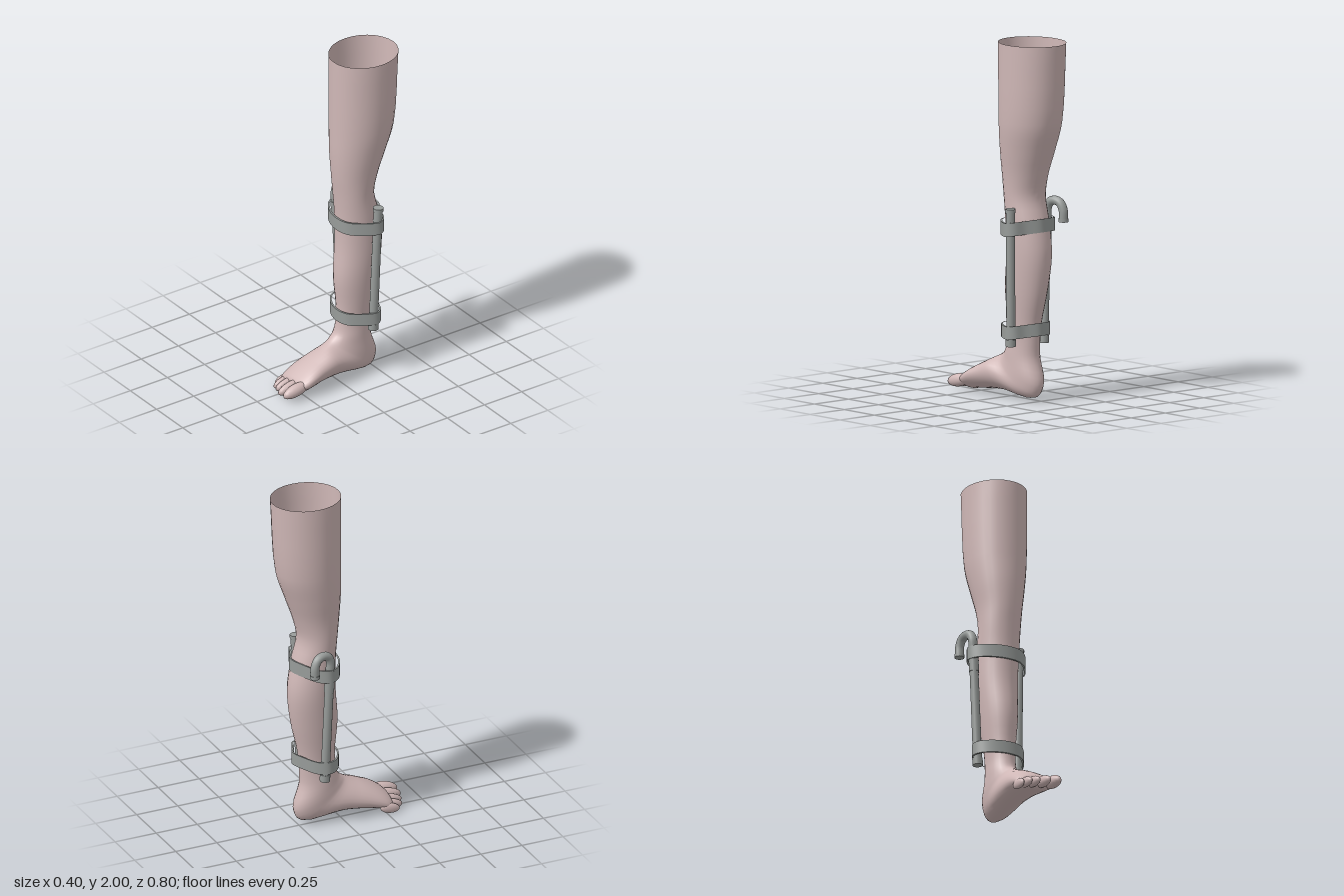
import * as THREE from 'three';
import { toCreasedNormals } from 'three/addons/utils/BufferGeometryUtils.js';

const skin = new THREE.MeshStandardMaterial({ color: 0xd0b8b7, side: THREE.DoubleSide });
skin.name = 'skin';
const metal = new THREE.MeshStandardMaterial({ color: 0x989c9a });
metal.name = 'greyMetal';

const V = (x, y, z) => new THREE.Vector3(x, y, z);

// Level sections down the leg: y, front z, back z, right x, left x
const LEG = [
  [2, 0, -.4, -.157, .2],
  [1.56, 0, -.37, -.147, .19],
  [1.4, 0, -.32, -.128, .168],
  [1.26, -.008, -.272, -.106, .146],
  [1.14, -.02, -.247, -.1, .136],
  [1, -.03, -.28, -.1, .136],
  [.82, -.03, -.306, -.1, .132],
  [.62, -.014, -.285, -.083, .122],
  [.43, -.028, -.243, -.061, .105],
  [.33, -.023, -.235, -.056, .1],
];

// Sections fanning round the heel and standing upright along the foot:
// upper point y, z, lower point y, z, right x, left x
const FOOT = [
  [.275, -.008, .235, -.235, -.06, .104],
  [.25, .02, .1, -.272, -.062, .108],
  [.238, .04, .025, -.235, -.06, .112],
  [.215, .085, .042, 0, -.07, .134],
  [.185, .15, .036, .12, -.083, .14],
  [.15, .215, .025, .21, -.091, .15],
  [.115, .265, .02, .262, -.088, .144],
  [.09, .29, .035, .285, -.07, .125],
  [.062, .296, .058, .296, -.03, .08],
];

// One point of an oval section; tilt raises the inner edge of the forefoot
function sectionPoint(angle, fy, fz, by, bz, xl, xr, tilt) {
  const k = .5 + .5 * Math.cos(angle), s = Math.sin(angle);
  const x = (xl + xr) / 2 + (xr - xl) / 2 * s;
  return V(x, by + (fy - by) * k + tilt * (x - .03) * Math.abs(s), bz + (fz - bz) * k);
}

// Continuous skin: a smooth curve down each side column, joined into rings
function legGeometry(sides = 28, steps = 72) {
  const columns = [];
  for (let j = 0; j < sides; j++) {
    const t = j / sides * Math.PI * 2;
    columns.push(new THREE.CatmullRomCurve3([
      ...LEG.map(([y, zf, zb, xl, xr]) => sectionPoint(t, y, zf, y, zb, xl, xr, 0)),
      ...FOOT.map((section, i) => sectionPoint(t, ...section, i > 2 ? .14 : 0)),
    ]));
  }
  const pos = [], index = [];
  for (let i = 0; i <= steps; i++) {
    for (const column of columns) pos.push(...column.getPoint(i / steps).toArray());
    if (i === steps) break;
    for (let j = 0; j < sides; j++) {
      const a = i * sides + j, b = i * sides + (j + 1) % sides;
      index.push(a, a + sides, b, b, a + sides, b + sides);
    }
  }
  const g = new THREE.BufferGeometry();
  g.setAttribute('position', new THREE.Float32BufferAttribute(pos, 3));
  g.setIndex(index);
  g.computeVertexNormals();
  return g;
}

function mesh(name, geometry, material) {
  const m = new THREE.Mesh(geometry, material);
  m.name = name;
  return m;
}

// Straight cylinder between two points
function rod(name, a, b, r) {
  const m = mesh(name, new THREE.CylinderGeometry(r, r, a.distanceTo(b), 16), metal);
  m.position.copy(a).lerp(b, .5);
  m.quaternion.setFromUnitVectors(V(0, 1, 0), b.clone().sub(a).normalize());
  return m;
}

// Strap outline (x, z) round the leg and both rods
const STRAP = [
  [.02, -.018], [.1, -.035], [.17, -.11], [.202, -.19], [.18, -.228], [.12, -.25],
  [.02, -.293], [-.08, -.25], [-.14, -.205], [-.175, -.14], [-.15, -.085], [-.07, -.035],
];

// Closed band, lifted a little at the back
function strap(name, y, height, scaleX, shiftX, scaleZ) {
  const curve = new THREE.CatmullRomCurve3(
    STRAP.map(([x, z]) => V(x * scaleX + shiftX, z * scaleZ, 0)), true);
  const outer = [], inner = [];
  for (let i = 0; i < 64; i++) {
    const p = curve.getPointAt(i / 64), t = curve.getTangentAt(i / 64);
    outer.push(new THREE.Vector2(p.x, p.y));
    // the outline runs clockwise in (x, z), so the inside lies to the right of the tangent
    inner.push(new THREE.Vector2(p.x + t.y * .01, p.y - t.x * .01));
  }
  const shape = new THREE.Shape(outer);
  shape.holes.push(new THREE.Path(inner));
  const g = new THREE.ExtrudeGeometry(shape, { depth: height, bevelEnabled: false });
  g.rotateX(Math.PI / 2).translate(0, y + height, 0);
  const p = g.attributes.position;
  for (let i = 0; i < p.count; i++) p.setY(i, p.getY(i) + Math.max(0, -.19 - p.getZ(i)) * .2);
  return mesh(name, toCreasedNormals(g, .7), metal);
}

export function createModel() {
  const model = new THREE.Group();
  model.name = 'bracedLeg';
  model.add(mesh('legAndFoot', legGeometry(), skin));

  // Toes: x, tip z, centre y, half width, half height, half length
  const toes = new THREE.Group();
  toes.name = 'toes';
  [
    [.108, .4, .064, .034, .036, .085],
    [.05, .395, .056, .027, .032, .085],
    [-.003, .374, .05, .024, .03, .08],
    [-.045, .358, .042, .022, .029, .075],
    [-.078, .327, .033, .018, .029, .06],
  ].forEach(([x, tip, y, rx, ry, rz], i) => {
    const toe = mesh('toe' + (i + 1), new THREE.SphereGeometry(1, 16, 12), skin);
    toe.scale.set(rx, ry, rz);
    toe.position.set(x, y, tip - rz);
    toe.rotation.x = .2;
    toes.add(toe);
  });
  model.add(toes);

  // Straight rod on the left with end caps
  const a = V(.153, .315, -.172), b = V(.174, 1.085, -.192);
  const leftRod = new THREE.Group();
  leftRod.name = 'leftRod';
  leftRod.add(
    rod('rod', a, b, .025),
    rod('lowerCap', a, a.clone().lerp(b, .05), .029),
    rod('upperCap', a.clone().lerp(b, .975), b, .029));
  model.add(leftRod);

  // Right rod with a collar and a hook bent backwards
  const c = V(-.11, .305, -.145), d = V(-.146, 1, -.13);
  const hookPath = new THREE.CatmullRomCurve3([
    d, V(-.15, 1.05, -.13), V(-.154, 1.085, -.147), V(-.161, 1.097, -.18),
    V(-.169, 1.085, -.215), V(-.174, 1.045, -.235), V(-.175, .985, -.236),
  ]);
  const rightRod = new THREE.Group();
  rightRod.name = 'rightRod';
  rightRod.add(
    rod('rod', c, d, .025),
    rod('lowerCap', c, c.clone().lerp(d, .06), .029),
    rod('collar', c.clone().lerp(d, .8), d, .028),
    mesh('hook', new THREE.TubeGeometry(hookPath, 32, .025, 14), metal),
    rod('hookTip', V(-.175, .98, -.236), V(-.175, 1, -.236), .027));
  model.add(rightRod);

  // Straps round the leg and both rods
  model.add(strap('upperStrap', .93, .075, 1, 0, 1));
  model.add(strap('lowerStrap', .355, .072, .875, .008, .95));
  return model;
}
